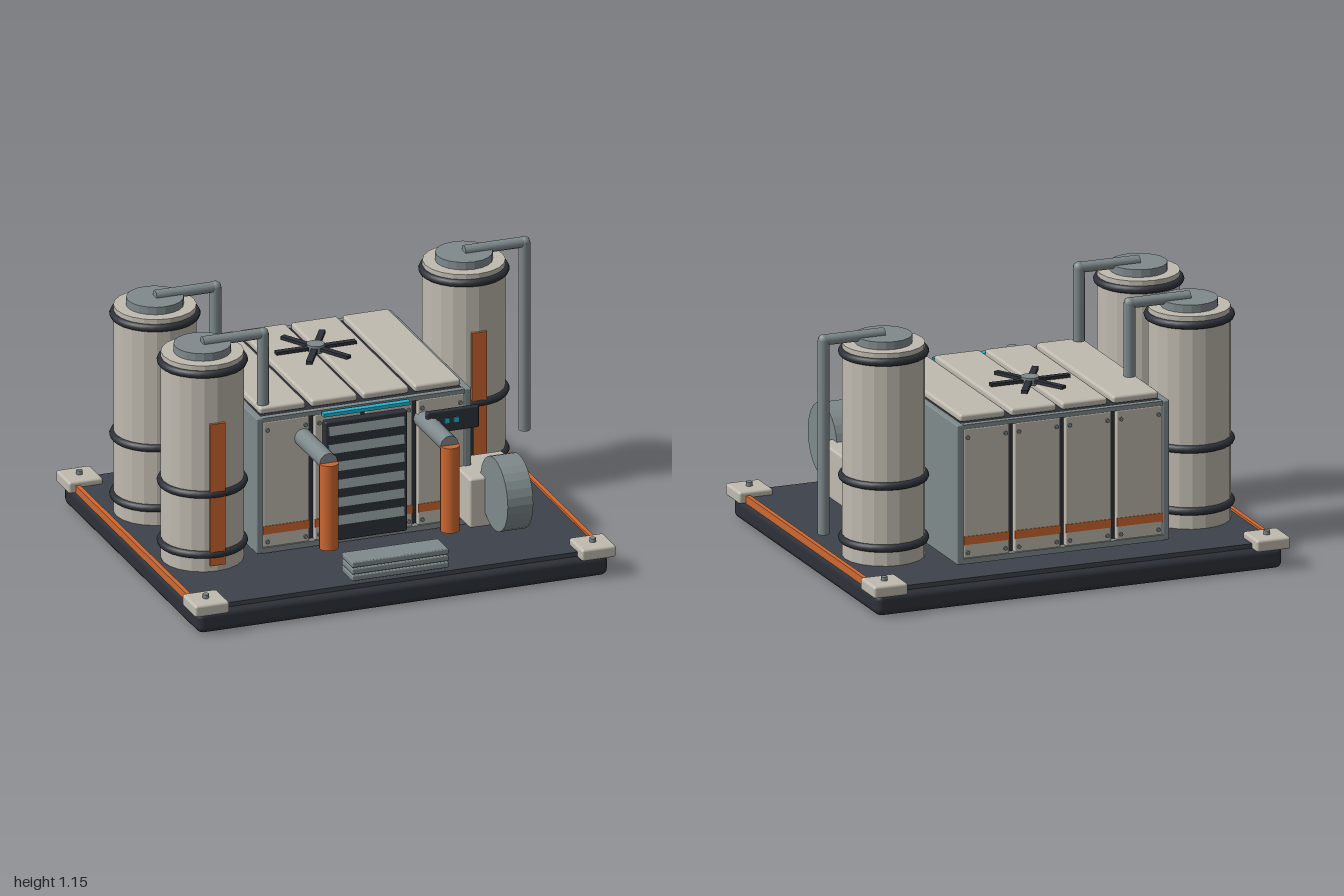
import * as THREE from 'three';
import { RoundedBoxGeometry } from 'three/addons/geometries/RoundedBoxGeometry.js';

const mat = (name, color) => {
  const m = new THREE.MeshStandardMaterial({ color });
  m.name = name;
  return m;
};

export function createModel() {
  const cream = mat('cream panel', 0xc0bbb0);
  const steel = mat('grey steel', 0x7f8a8c);
  const deckDark = mat('dark deck', 0x3d434b);
  const rubber = mat('dark rubber', 0x2d3138);
  const orange = mat('orange paint', 0xcf6830);
  const cyan = mat('cyan light', 0x22b5d2);

  const model = new THREE.Group();
  model.name = 'processingPlant';

  const add = (parent, name, geo, material, x, y, z) => {
    const mesh = new THREE.Mesh(geo, material);
    mesh.name = name;
    mesh.position.set(x, y, z);
    parent.add(mesh);
    return mesh;
  };
  const box = (parent, name, material, w, h, d, x, y, z, r = 0) =>
    add(parent, name, r ? new RoundedBoxGeometry(w, h, d, 2, r) : new THREE.BoxGeometry(w, h, d), material, x, y, z);
  // Cylinder along 'x', 'y' or 'z'; faceted when flat is true
  const cyl = (parent, name, material, r, len, axis, x, y, z, sides = 12, flat = false) => {
    let geo = new THREE.CylinderGeometry(r, r, len, sides);
    if (flat) {
      geo = geo.toNonIndexed();
      geo.computeVertexNormals();
    }
    if (axis === 'x') geo.rotateZ(-Math.PI / 2);
    if (axis === 'z') geo.rotateX(Math.PI / 2);
    return add(parent, name, geo, material, x, y, z);
  };
  const part = (name, x = 0, y = 0, z = 0) => {
    const g = new THREE.Group();
    g.name = name;
    g.position.set(x, y, z);
    model.add(g);
    return g;
  };

  // Base slab, deck, edge stripes and corner feet
  const base = part('base');
  box(base, 'baseSlab', rubber, 1.9, 0.1, 1.626, 0, 0.05, 0, 0.03);
  box(base, 'deck', deckDark, 1.84, 0.03, 1.57, 0, 0.105, 0);
  for (const sx of [-1, 1]) {
    box(base, 'edgeStripe', orange, 0.02, 0.035, 1.38, sx * 0.932, 0.111, 0);
    for (const sz of [-1, 1]) {
      box(base, 'cornerBlock', cream, 0.16, 0.055, 0.16, sx * 0.895, 0.12, sz * 0.76, 0.012);
      cyl(base, 'cornerBolt', steel, 0.015, 0.02, 'y', sx * 0.895, 0.155, sz * 0.76, 8);
    }
  }

  // Storage tanks with bands, stripe and overflow pipe
  for (const [x, z] of [[-0.715, -0.32], [-0.715, 0.25], [0.715, -0.32]]) {
    const tank = part('tank', x, 0, z);
    cyl(tank, 'tankBody', cream, 0.18, 0.96, 'y', 0, 0.6, 0, 20, true);
    cyl(tank, 'tankLid', steel, 0.125, 0.05, 'y', 0, 1.09, 0, 20, true);
    box(tank, 'tankStripe', orange, 0.07, 0.66, 0.02, 0, 0.48, 0.18);
    for (const y of [0.2, 0.48, 1.04]) {
      const ring = new THREE.TorusGeometry(0.18, 0.018, 8, 28).rotateX(Math.PI / 2);
      add(tank, 'tankBand', ring, rubber, 0, y, 0);
    }
    cyl(tank, 'topPipe', steel, 0.024, 0.28, 'x', 0.14, 1.12, 0, 10);
    cyl(tank, 'downPipe', steel, 0.026, 0.875, 'y', 0.28, 0.6825, 0, 10);
    add(tank, 'pipeElbow', new THREE.SphereGeometry(0.026, 10, 8), steel, 0.28, 1.12, 0);
  }

  // Machine housing
  const housing = part('housing');
  box(housing, 'housingCore', rubber, 0.95, 0.62, 0.9, 0, 0.445, -0.143);
  for (const sx of [-1, 1])
    box(housing, 'sideWall', steel, 0.032, 0.63, 0.96, sx * 0.481, 0.445, -0.143, 0.006);
  const columns = [-0.358, -0.119, 0.119, 0.358];
  for (const s of [-1, 1]) {
    const z = -0.143 + s * 0.462;
    box(housing, 'bottomBeam', steel, 0.94, 0.025, 0.04, 0, 0.143, z);
    box(housing, 'topBeam', steel, 0.94, 0.02, 0.03, 0, 0.748, z);
    for (const x of columns) {
      box(housing, 'wallPanel', cream, 0.214, 0.585, 0.03, x, 0.447, z, 0.006);
      box(housing, 'wallStripe', orange, 0.214, 0.038, 0.006, x, 0.235, z + s * 0.015);
      for (const dx of [-0.088, 0.088])
        for (const y of [0.18, 0.7])
          cyl(housing, 'panelBolt', steel, 0.009, 0.01, 'z', x + dx, y, z + s * 0.018, 8);
    }
  }
  for (const x of columns)
    box(housing, 'roofPanel', cream, 0.214, 0.034, 0.87, x, 0.774, -0.143, 0.012);

  // Roof fan
  const fan = part('roofFan', 0, 0.8, -0.245);
  cyl(fan, 'fanHub', steel, 0.04, 0.035, 'y', 0, 0.003, 0, 12);
  for (let i = 0; i < 3; i++)
    box(fan, 'fanBlades', rubber, 0.37, 0.014, 0.028, 0, 0.003, 0).rotation.y = i * Math.PI / 3;

  // Front vent with slats and light strip
  const vent = part('vent');
  box(vent, 'ventFrame', rubber, 0.38, 0.56, 0.04, 0, 0.43, 0.345, 0.008);
  for (let i = 0; i < 6; i++)
    box(vent, 'ventSlat', steel, 0.35, 0.042, 0.012, 0, 0.245 + i * 0.084, 0.367).rotation.x = -0.35;
  box(vent, 'lightStrip', cyan, 0.4, 0.016, 0.03, 0, 0.747, 0.36);

  // Stacked front step
  for (let i = 0; i < 3; i++)
    box(model, 'step', steel, 0.446, 0.026, 0.13, 0, 0.143 + i * 0.031, 0.712, 0.005);

  // Pipes leaving the front wall and turning down
  for (const x of [-0.28, 0.28]) {
    const outlet = part('frontPipe', x, 0, 0);
    cyl(outlet, 'outletPipe', steel, 0.041, 0.33, 'z', 0, 0.643, 0.475, 12);
    cyl(outlet, 'dropPipe', orange, 0.043, 0.395, 'y', 0, 0.443, 0.64, 12);
  }

  // Indicator plate
  const plate = part('indicatorPlate', 0.38, 0.66, 0.41);
  box(plate, 'plateBody', rubber, 0.24, 0.1, 0.026, 0, 0, 0, 0.006);
  for (const x of [-0.03, 0.013])
    box(plate, 'indicatorLight', cyan, 0.022, 0.022, 0.008, x, 0.003, 0.014);

  // Blower: motor box and drum
  const blower = part('blower');
  box(blower, 'motorBox', cream, 0.25, 0.228, 0.268, 0.555, 0.287, 0.358, 0.01);
  cyl(blower, 'blowerDrum', steel, 0.166, 0.118, 'x', 0.56, 0.365, 0.598, 28, true);

  // Side control panel
  const control = part('controlPanel', 0.525, 0.4, 0.119);
  box(control, 'controlCase', rubber, 0.065, 0.275, 0.195, 0, 0, 0, 0.014);
  box(control, 'screen', cyan, 0.008, 0.082, 0.126, 0.032, 0.06, 0.002);
  for (let i = 0; i < 3; i++)
    box(control, 'keyRow', steel, 0.008, 0.01, 0.13, 0.032, -0.01 - i * 0.027, 0.002);

  // Centre the footprint, allowing for the outer pipe on the left
  for (const child of model.children) child.position.x -= 0.023;
  return model;
}
